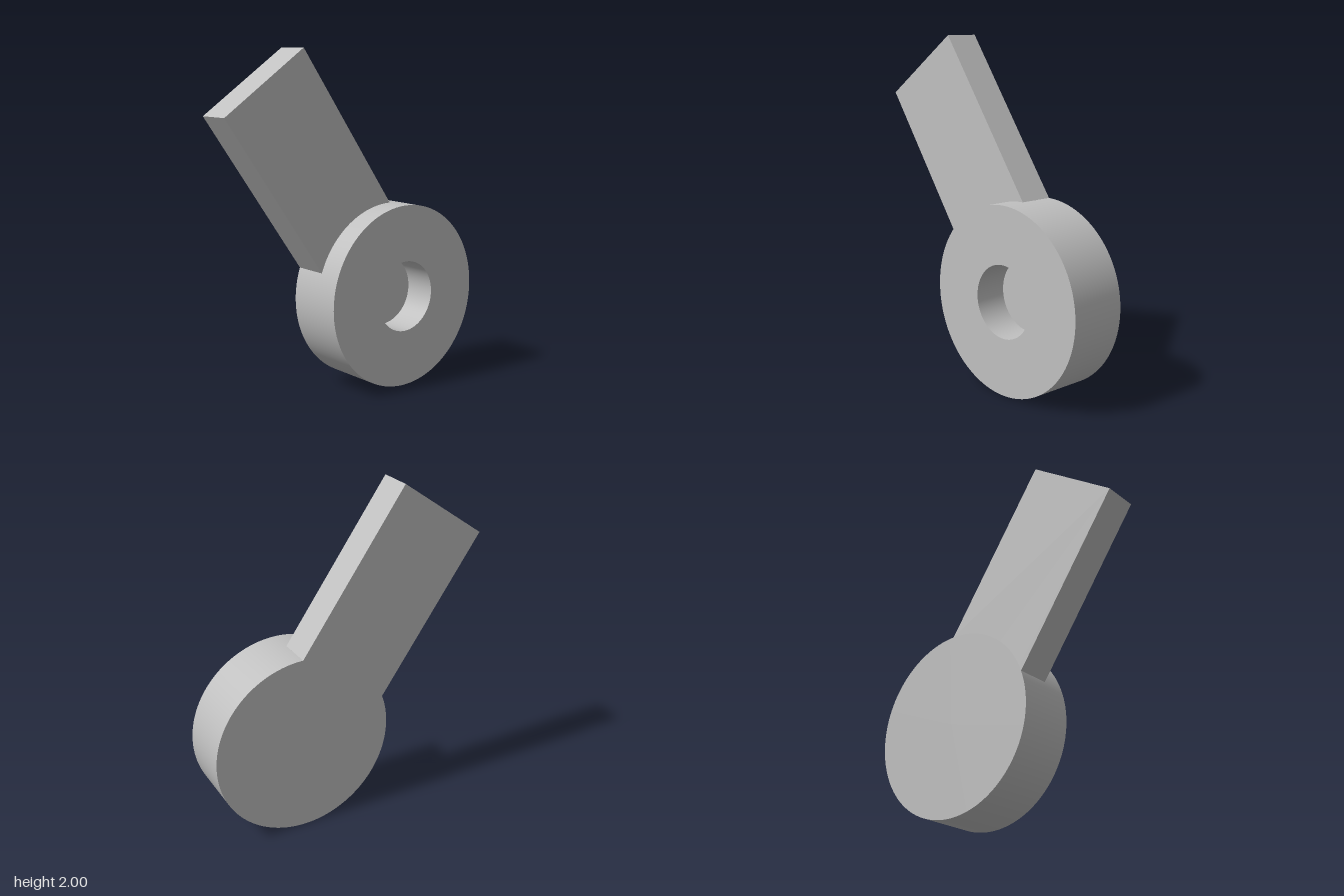
import * as THREE from 'three';
import { toCreasedNormals } from 'three/addons/utils/BufferGeometryUtils.js';

const HUB = { x: 0.3, y: 0.547, radius: 0.546, bore: 0.211 };
const BACK = -0.178, FRONT = 0.178, BORE_FLOOR = -0.022, ARM_FRONT = 0.03;
const ARM = { length: 1.552, halfWidth: 0.314, angle: 2.18 };

export function createModel() {
  const group = new THREE.Group();
  group.name = 'leverArm';
  const grey = new THREE.MeshStandardMaterial({ color: 0xc0c0c0 });
  grey.name = 'plain grey';

  const add = (name, geometry) => {
    const mesh = new THREE.Mesh(geometry, grey);
    mesh.name = name;
    mesh.position.set(HUB.x, HUB.y, 0);
    group.add(mesh);
    return mesh;
  };

  // Round hub with a blind bore open to the front
  const profile = [
    [0, BACK], [HUB.radius, BACK], [HUB.radius, FRONT],
    [HUB.bore, FRONT], [HUB.bore, BORE_FLOOR], [0, BORE_FLOOR],
  ].map(([r, z]) => new THREE.Vector2(r, z));
  const hub = new THREE.LatheGeometry(profile, 128).rotateX(Math.PI / 2);
  add('hub', toCreasedNormals(hub, 0.5));

  // Flat arm, flush with the back of the hub, its inner end cut to the hub's curve
  const spread = Math.asin(ARM.halfWidth / HUB.radius);
  const outline = new THREE.Shape();
  outline.moveTo(HUB.radius * Math.cos(spread), -ARM.halfWidth);
  outline.lineTo(ARM.length, -ARM.halfWidth);
  outline.lineTo(ARM.length, ARM.halfWidth);
  outline.lineTo(HUB.radius * Math.cos(spread), ARM.halfWidth);
  outline.absarc(0, 0, HUB.radius - 0.001, spread, -spread, true);
  const arm = new THREE.ExtrudeGeometry(outline, {
    depth: ARM_FRONT - BACK, bevelEnabled: false, curveSegments: 32,
  }).translate(0, 0, BACK);
  add('arm', arm).rotation.z = ARM.angle;

  return group;
}
